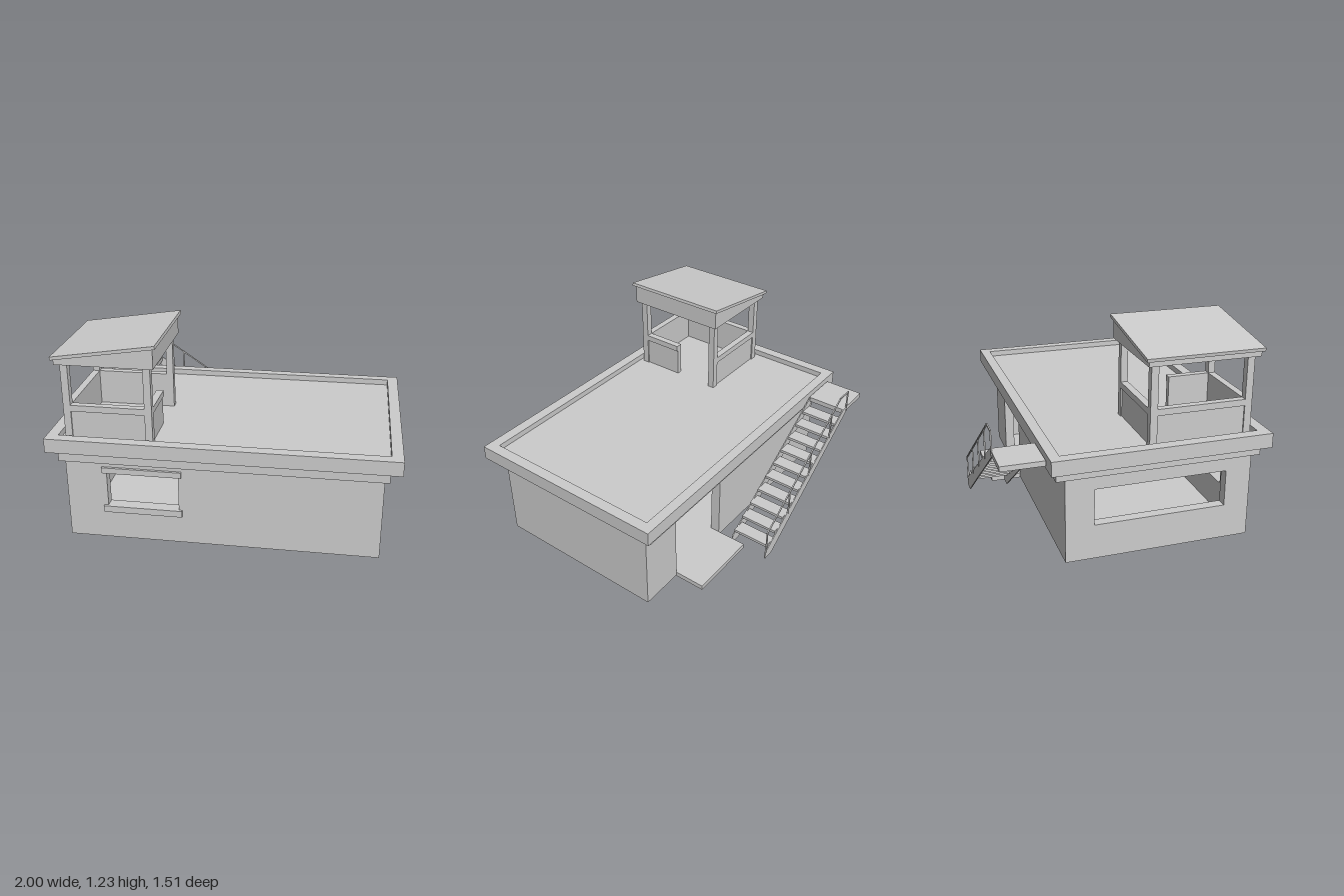
import * as THREE from 'three';

const mat = new THREE.MeshStandardMaterial({ color: 0xcccccc, flatShading: true });

function add(parent, name, geometry) {
  const mesh = new THREE.Mesh(geometry, mat);
  mesh.name = name;
  parent.add(mesh);
  return mesh;
}

function group(parent, name) {
  const g = new THREE.Group();
  g.name = name;
  parent.add(g);
  return g;
}

// Box given by its limits on each axis
function box(parent, name, x0, x1, y0, y1, z0, z1) {
  const g = new THREE.BoxGeometry(x1 - x0, y1 - y0, z1 - z0);
  g.translate((x0 + x1) / 2, (y0 + y1) / 2, (z0 + z1) / 2);
  return add(parent, name, g);
}

const shapeOf = pts => new THREE.Shape(pts.map(p => new THREE.Vector2(p[0], p[1])));
const rect = (a0, a1, b0, b1) => [[a0, b0], [a1, b0], [a1, b1], [a0, b1]];

// Flat panel in the XY plane, from z0 to z1, with optional hole
function panel(pts, z0, z1, hole) {
  const s = shapeOf(pts);
  if (hole) s.holes.push(new THREE.Path(hole.map(p => new THREE.Vector2(p[0], p[1]))));
  return new THREE.ExtrudeGeometry(s, { depth: z1 - z0, bevelEnabled: false }).translate(0, 0, z0);
}

// Thin bar between two points of the XY plane
function bar(parent, name, a, b, z, t) {
  const dx = b[0] - a[0], dy = b[1] - a[1];
  const m = add(parent, name, new THREE.BoxGeometry(Math.hypot(dx, dy) + t, t, t));
  m.position.set((a[0] + b[0]) / 2, (a[1] + b[1]) / 2, z);
  m.rotation.z = Math.atan2(dy, dx);
}

function buildHouse(root) {
  const g = group(root, 'house');
  const X = 0.91, T = 0.06, B = -0.405, F = 0.68, H = 0.51, y0 = 0.005;

  // Floor and porch slab running out through the doorway
  add(g, 'floorAndPorch', new THREE.ExtrudeGeometry(shapeOf([
    [-X + T, -F + T], [X - T, -F + T], [X - T, -B - T], [0.64, -B - T],
    [0.64, 0.595], [0.2, 0.595], [0.2, -B - T], [-X + T, -B - T],
  ]), { depth: 0.03, bevelEnabled: false }).rotateX(-Math.PI / 2));

  // Walls
  add(g, 'frontWall', panel(rect(-X, X, y0, H), F - T, F, rect(-0.67, -0.25, 0.22, 0.435)));
  add(g, 'rightWall', panel(rect(B + T, F - T, y0, H), 0, T, rect(-0.24, 0.53, 0.21, 0.425))
    .rotateY(-Math.PI / 2).translate(-X + T, 0, 0));
  box(g, 'leftWall', X - T, X, y0, H, B + T, F - T);
  box(g, 'backWall', -X, 0.2, y0, H, B, B + T);
  box(g, 'backWallShort', 0.64, X, y0, H, B, B + T);

  // Window trim
  box(g, 'windowLintel', -0.695, -0.23, 0.435, 0.47, F, 0.695);
  box(g, 'windowSill', -0.695, -0.23, 0.18, 0.22, F, 0.695);

  // Cornice, roof slab and parapet
  box(g, 'cornice', -0.935, 0.935, H, 0.575, -0.46, 0.72);
  box(g, 'roofDeck', -0.935, 0.935, 0.575, 0.625, -0.44, 0.69);
  add(g, 'parapet', panel(rect(-1, 1, -0.755, 0.5), 0, 0.085, rect(-0.935, 0.935, -0.69, 0.44))
    .rotateX(-Math.PI / 2).translate(0, 0.575, 0));
}

function buildTower(root) {
  const g = group(root, 'lookout');
  const x0 = -0.9, x1 = -0.39, z0 = 0.07, z1 = 0.665, P = 0.042, base = 0.625, W = 0.8, C = 0.837;

  // Corner posts
  for (const x of [x0, x1 - P])
    for (const z of [z0, z1 - P]) box(g, 'post', x, x + P, base, 1.086, z, z + P);

  // Low walls, set back slightly below their caps
  const i = 0.008;
  const low = (name, a, b, c, d, ox0, ox1, oz0, oz1) => {
    box(g, name, a + ox0, b - ox1, base, W, c + oz0, d - oz1);
    box(g, name + 'Cap', a, b, W, C, c, d);
  };
  low('lowWallFront', x0 + P, x1 - P, z1 - P, z1, 0, 0, 0, i);
  low('lowWallBack', x0 + P, x1 - P, z0, z0 + P, 0, 0, i, 0);
  low('lowWallRight', x0, x0 + P, z0 + P, z1 - P, i, 0, 0, 0);
  low('lowWallLeft', x1 - P, x1, 0.37, z1 - P, 0, i, 0, 0);

  // Wedge frame and sloping roof
  add(g, 'roofFrame', panel([[-0.925, 1.085], [-0.365, 1.085], [-0.365, 1.203], [-0.925, 1.117]], 0.045, 0.69));
  add(g, 'roofPanel', panel([[-0.937, 1.115], [-0.347, 1.206], [-0.35, 1.225], [-0.94, 1.134]], 0.03, 0.705));
}

function buildStairs(root) {
  const g = group(root, 'stairs');
  box(g, 'landing', -0.91, -0.67, 0.6, 0.63, -0.75, -0.505);

  // Treads
  for (let k = 0; k < 10; k++) {
    const x = 0.14 - 0.085 * k, y = 0.095 + 0.0522 * k;
    box(g, 'tread', x - 0.043, x + 0.043, y - 0.017, y, -0.747, -0.51);
  }

  // Side stringers
  const side = [[0.2, 0], [0.2, 0.05], [-0.67, 0.63], [-0.72, 0.63], [-0.72, 0.6], [0.13, 0]];
  for (const z of [-0.753, -0.512]) add(g, 'stringer', panel(side, z, z + 0.007));

  // Handrail with posts
  const z = -0.751, t = 0.008, foot = [0.19, 0.2], knee = [-0.61, 0.746], end = [-0.71, 0.746];
  bar(g, 'handrail', foot, knee, z, t);
  bar(g, 'handrailTop', knee, end, z, t);
  for (const x of [0.19, -0.05, -0.28, -0.51]) {
    const f = (0.19 - x) / 0.8;
    bar(g, 'railPost', [x, 0.04 + f * 0.53], [x, foot[1] + f * (knee[1] - foot[1])], z, t);
  }
  bar(g, 'railPost', [end[0], 0.61], end, z, t);
}

export function createModel() {
  const root = new THREE.Group();
  root.name = 'lookoutHouse';
  buildHouse(root);
  buildTower(root);
  buildStairs(root);
  return root;
}
